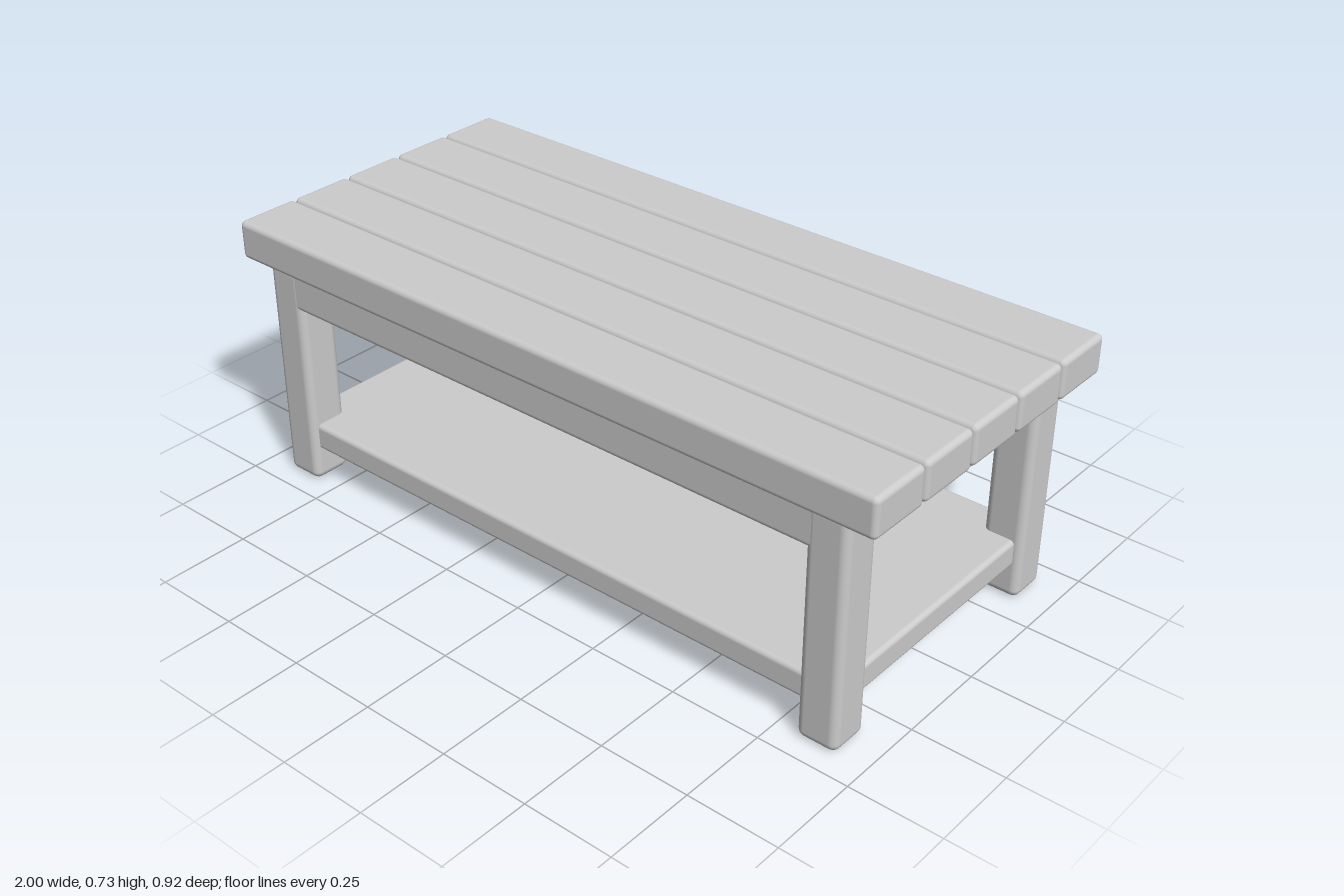
import * as THREE from 'three';
import { RoundedBoxGeometry } from 'three/addons/geometries/RoundedBoxGeometry.js';

export function createModel() {
  const table = new THREE.Group();
  table.name = 'slattedTable';
  const grey = new THREE.MeshStandardMaterial({ color: 0xcccccc });
  grey.name = 'plain grey';

  // Rounded block with its centre at x, z and its underside at y0
  function block(name, w, d, y0, y1, x, z, radius) {
    const mesh = new THREE.Mesh(new RoundedBoxGeometry(w, y1 - y0, d, 4, radius), grey);
    mesh.name = name;
    mesh.position.set(x, (y0 + y1) / 2, z);
    table.add(mesh);
  }

  // Five top planks with narrow gaps
  for (let i = -2; i <= 2; i++) {
    block('topPlank', 2, 0.18, 0.625, 0.732, 0, i * 0.1845, 0.015);
  }

  // Four legs
  for (const sx of [-1, 1]) {
    for (const sz of [-1, 1]) {
      block('leg', 0.112, 0.114, 0, 0.635, sx * 0.865, sz * 0.382, 0.022);
    }
  }

  // Long rails under the top, nearly flush with the legs
  for (const sz of [-1, 1]) {
    block('rail', 1.78, 0.08, 0.52, 0.635, 0, sz * 0.398, 0.015);
  }

  // Lower shelf, let into the legs
  block('shelf', 1.8, 0.84, 0.094, 0.17, 0, 0, 0.013);

  return table;
}
